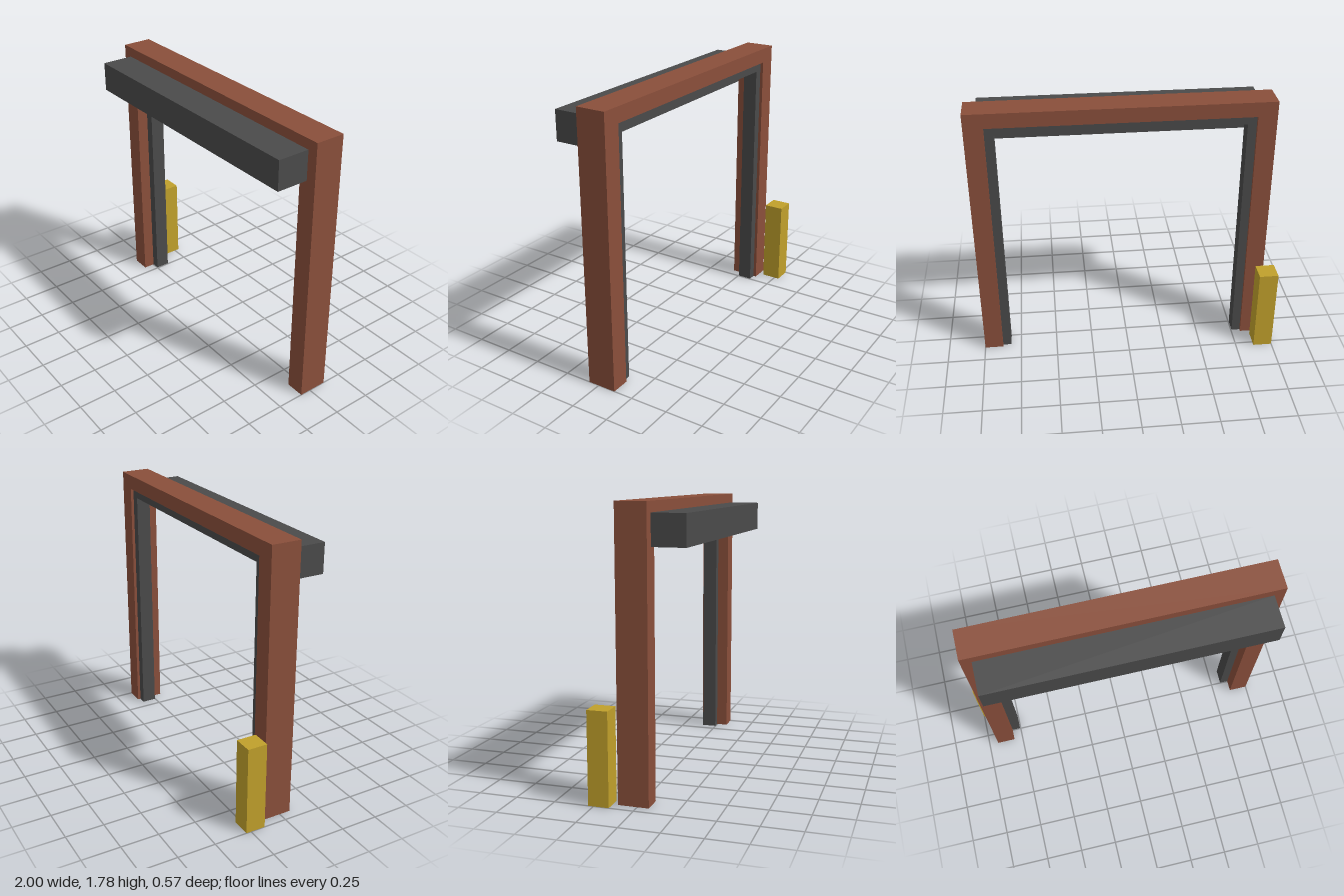
import * as THREE from 'three';

const CX = 0.032; // centre line of the doorway

const material = (name, color) => {
  const m = new THREE.MeshStandardMaterial({ color });
  m.name = name;
  return m;
};

// Upside-down U: two legs and a head, extruded from z0 to z1
function portal(name, mat, outerHalf, innerHalf, outerTop, innerTop, z0, z1) {
  const shape = new THREE.Shape([
    [-outerHalf, 0], [-innerHalf, 0], [-innerHalf, innerTop], [innerHalf, innerTop],
    [innerHalf, 0], [outerHalf, 0], [outerHalf, outerTop], [-outerHalf, outerTop],
  ].map(([x, y]) => new THREE.Vector2(x, y)));
  const geo = new THREE.ExtrudeGeometry(shape, { depth: z1 - z0, bevelEnabled: false });
  const mesh = new THREE.Mesh(geo, mat);
  mesh.position.set(CX, 0, z0);
  mesh.name = name;
  return mesh;
}

// Box given by its extents along each axis
function block(name, mat, [x0, x1], [y0, y1], [z0, z1]) {
  const mesh = new THREE.Mesh(new THREE.BoxGeometry(x1 - x0, y1 - y0, z1 - z0), mat);
  mesh.position.set((x0 + x1) / 2, (y0 + y1) / 2, (z0 + z1) / 2);
  mesh.name = name;
  return mesh;
}

export function createModel() {
  const brick = material('brick brown', 0x8a4f3b);
  const metal = material('dark metal', 0x4a4a4a);
  const yellow = material('safety yellow', 0xc0a02b);

  const model = new THREE.Group();
  model.name = 'doorway';
  model.add(
    // Brown surround with the thinner door frame set inside it
    portal('surround', brick, 0.968, 0.844, 1.777, 1.68, -0.12, 0.073),
    portal('innerFrame', metal, 0.844, 0.787, 1.68, 1.623, -0.1, -0.003),
    // Shutter housing across the front
    block('shutterHousing', metal, [CX - 0.901, CX + 0.901], [1.52, 1.712], [0.073, 0.283]),
    // Guard post behind one leg
    block('guardPost', yellow, [-1, -0.873], [0, 0.583], [-0.283, -0.153]),
  );
  return model;
}
